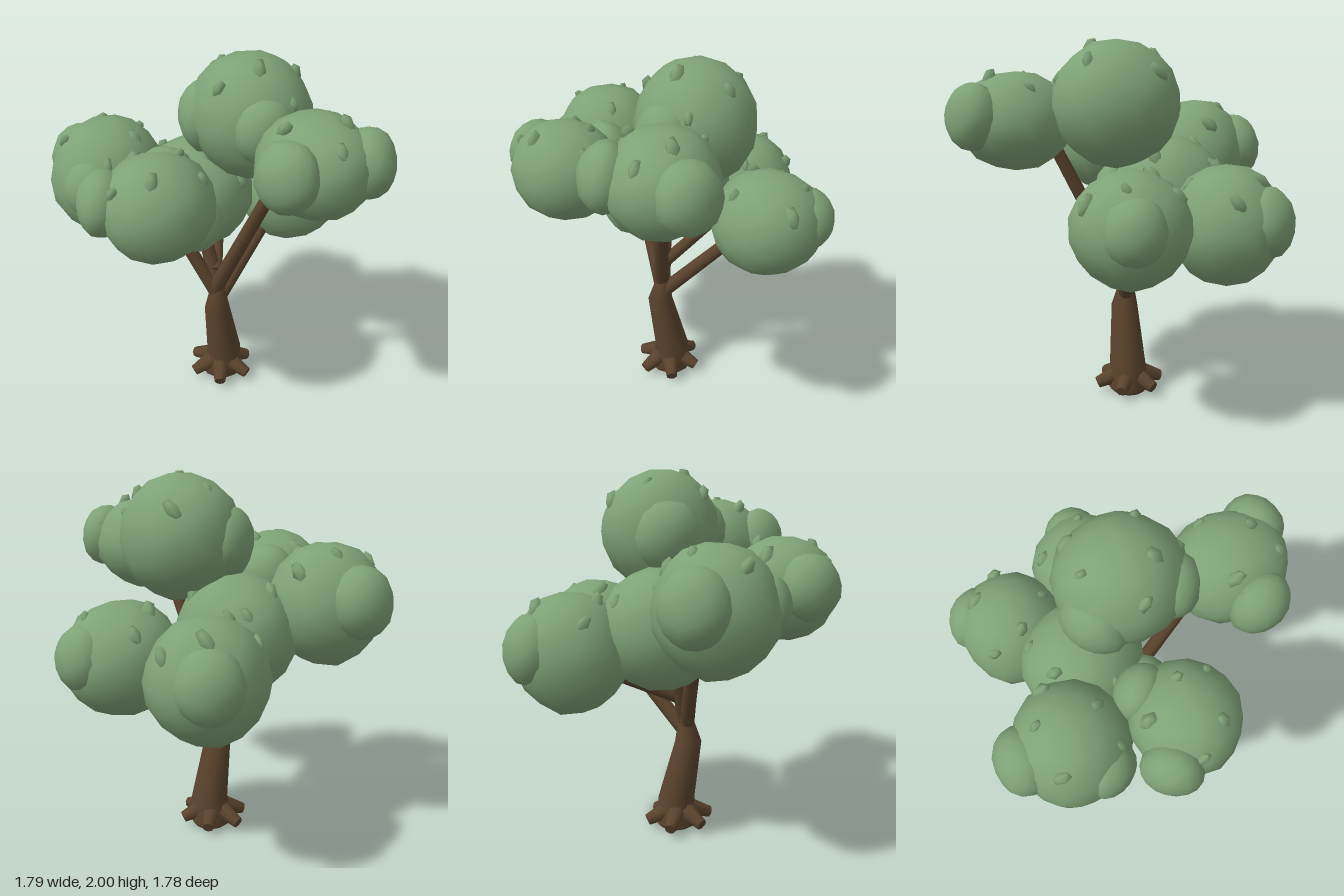
import * as THREE from 'three';
import { mergeVertices } from 'three/addons/utils/BufferGeometryUtils.js';

const leaf = new THREE.MeshStandardMaterial({ color: 0x7fa277 });
leaf.name = 'leaf green';
const bark = new THREE.MeshStandardMaterial({ color: 0x5a432d });
bark.name = 'bark brown';

// Faceted outline, smooth normals, slightly uneven surface
function blobGeometry(radii, detail, seed) {
  let g = new THREE.IcosahedronGeometry(1, detail);
  g.deleteAttribute('normal');
  g.deleteAttribute('uv');
  g = mergeVertices(g, 1e-4);
  const p = g.attributes.position;
  const v = new THREE.Vector3();
  for (let i = 0; i < p.count; i++) {
    v.fromBufferAttribute(p, i);
    const k = 1.015 + 0.02 * Math.sin(4 * v.x + seed) * Math.cos(5 * v.y - seed) + 0.012 * Math.sin(7 * v.z + 2 * seed);
    p.setXYZ(i, v.x * k * radii[0], v.y * k * radii[1], v.z * k * radii[2]);
  }
  g.computeVertexNormals();
  return g;
}

// Tapered limb between two points
function limb(name, a, b, r0, r1, sides) {
  const from = new THREE.Vector3(...a), to = new THREE.Vector3(...b);
  const dir = to.clone().sub(from);
  const m = new THREE.Mesh(new THREE.CylinderGeometry(r1, r0, dir.length(), sides), bark);
  m.position.copy(from).add(to).multiplyScalar(0.5);
  m.quaternion.setFromUnitVectors(new THREE.Vector3(0, 1, 0), dir.normalize());
  m.name = name;
  return m;
}

// Skin through circular sections [x, y, z, radius], closed at the bottom
function trunkGeometry(sections, sides) {
  const pos = [], idx = [];
  sections.forEach(([x, y, z, r], s) => {
    for (let i = 0; i < sides; i++) {
      const t = (i / sides) * Math.PI * 2;
      pos.push(x + r * Math.sin(t), y, z + r * Math.cos(t));
      if (s === sections.length - 1) continue;
      const a = s * sides + i, b = s * sides + ((i + 1) % sides);
      idx.push(a, b, b + sides, a, b + sides, a + sides);
    }
  });
  for (let i = 1; i < sides - 1; i++) idx.push(0, i + 1, i);
  const g = new THREE.BufferGeometry();
  g.setAttribute('position', new THREE.Float32BufferAttribute(pos, 3));
  g.setIndex(idx);
  g.computeVertexNormals();
  return g;
}

// One foliage ball with centre c and radii r; lumps are [x, y, z, radius]
function foliage(name, c, r, lumps, seed) {
  const group = new THREE.Group();
  group.name = name;
  const centre = new THREE.Vector3(...c);
  const add = (label, geometry, x, y, z) => {
    const m = new THREE.Mesh(geometry, leaf);
    m.name = label;
    m.position.set(x, y, z);
    group.add(m);
    return m;
  };
  add('foliageBall', blobGeometry(r, 2, seed * 1.7), ...c);
  // Broad lumps, flattened towards the ball's centre
  lumps.forEach(([x, y, z, s], i) =>
    add('foliageLump', blobGeometry([s * 1.15, s * 1.25, s * 0.92], 2, seed + i * 2), x, y, z).lookAt(centre));
  // Leaf sprigs half sunk in the upper surface, spread by the golden angle
  for (let i = 0; i < 6; i++) {
    const h = 0.42 + 0.09 * i, w = 0.97 * Math.sqrt(1 - h * h), t = i * 2.4 + seed * 1.1;
    const s = 0.026 + 0.004 * ((i * 7 + seed * 3) % 4);
    const m = add('leafSprig', blobGeometry([s, s * 1.8, s], 0, i),
      c[0] + r[0] * w * Math.sin(t), c[1] + r[1] * h * 0.97, c[2] + r[2] * w * Math.cos(t));
    m.rotation.set(-0.6 * Math.cos(t), t, 0.6 * Math.sin(t));
  }
  return group;
}

export function createModel() {
  const tree = new THREE.Group();
  tree.name = 'tree';

  const trunk = new THREE.Mesh(trunkGeometry([
    [0, 0.005, -0.08, 0.09], [-0.01, 0.03, -0.08, 0.12], [-0.01, 0.1, -0.08, 0.105],
    [0, 0.17, -0.072, 0.103], [-0.067, 0.51, -0.055, 0.074], [-0.055, 0.66, -0.065, 0.036],
  ], 12), bark);
  trunk.name = 'trunk';
  tree.add(trunk);

  // Stubby roots around the base
  for (let i = 0; i < 6; i++) {
    const t = (i / 6) * Math.PI * 2 + 0.26, s = Math.sin(t), k = Math.cos(t);
    tree.add(limb('root', [-0.02 + 0.04 * s, 0.115, -0.08 + 0.04 * k],
      [-0.02 + 0.18 * s, 0.06, -0.08 + 0.19 * k], 0.056, 0.032, 8));
  }

  // Branches into the foliage
  const branch = (from, to, r0, r1) => tree.add(limb('branch', from, to, r0, r1, 9));
  branch([-0.065, 0.62, -0.08], [0.02, 1.52, 0.37], 0.045, 0.033);
  branch([-0.04, 0.58, -0.06], [0.45, 1.07, -0.06], 0.042, 0.034);
  branch([-0.06, 0.75, -0.07], [0.32, 0.99, -0.46], 0.036, 0.032);
  branch([-0.06, 0.6, -0.06], [-0.26, 1.2, -0.33], 0.042, 0.034);
  branch([-0.05, 0.62, -0.06], [-0.06, 1.1, -0.22], 0.042, 0.038);

  // Crown
  tree.add(
    foliage('topFoliage', [0.135, 1.67, 0], [0.315, 0.33, 0.335],
      [[0.01, 1.67, 0.23, 0.14], [-0.02, 1.65, -0.19, 0.155]], 0),
    foliage('frontFoliage', [0.05, 1.58, 0.53], [0.275, 0.26, 0.31],
      [[-0.205, 1.61, 0.59, 0.14], [0.2, 1.61, 0.74, 0.14]], 1),
    foliage('rightFoliage', [-0.55, 1.385, 0.07], [0.29, 0.27, 0.28],
      [[-0.765, 1.42, -0.09, 0.135], [-0.36, 1.44, -0.1, 0.13]], 2),
    foliage('backRightFoliage', [-0.45, 1.335, -0.49], [0.31, 0.325, 0.3],
      [[-0.46, 1.38, -0.74, 0.15], [-0.65, 1.36, -0.36, 0.125]], 3),
    foliage('leftFoliage', [0.53, 1.09, -0.06], [0.31, 0.295, 0.3],
      [[0.765, 1.13, -0.07, 0.132]], 4),
    foliage('backLeftFoliage', [0.345, 1.07, -0.56], [0.305, 0.315, 0.29],
      [[0.46, 1.11, -0.745, 0.145]], 5),
    foliage('middleFoliage', [-0.02, 1.18, -0.28], [0.32, 0.32, 0.32],
      [[-0.245, 1.15, -0.03, 0.135]], 6),
  );
  return tree;
}
